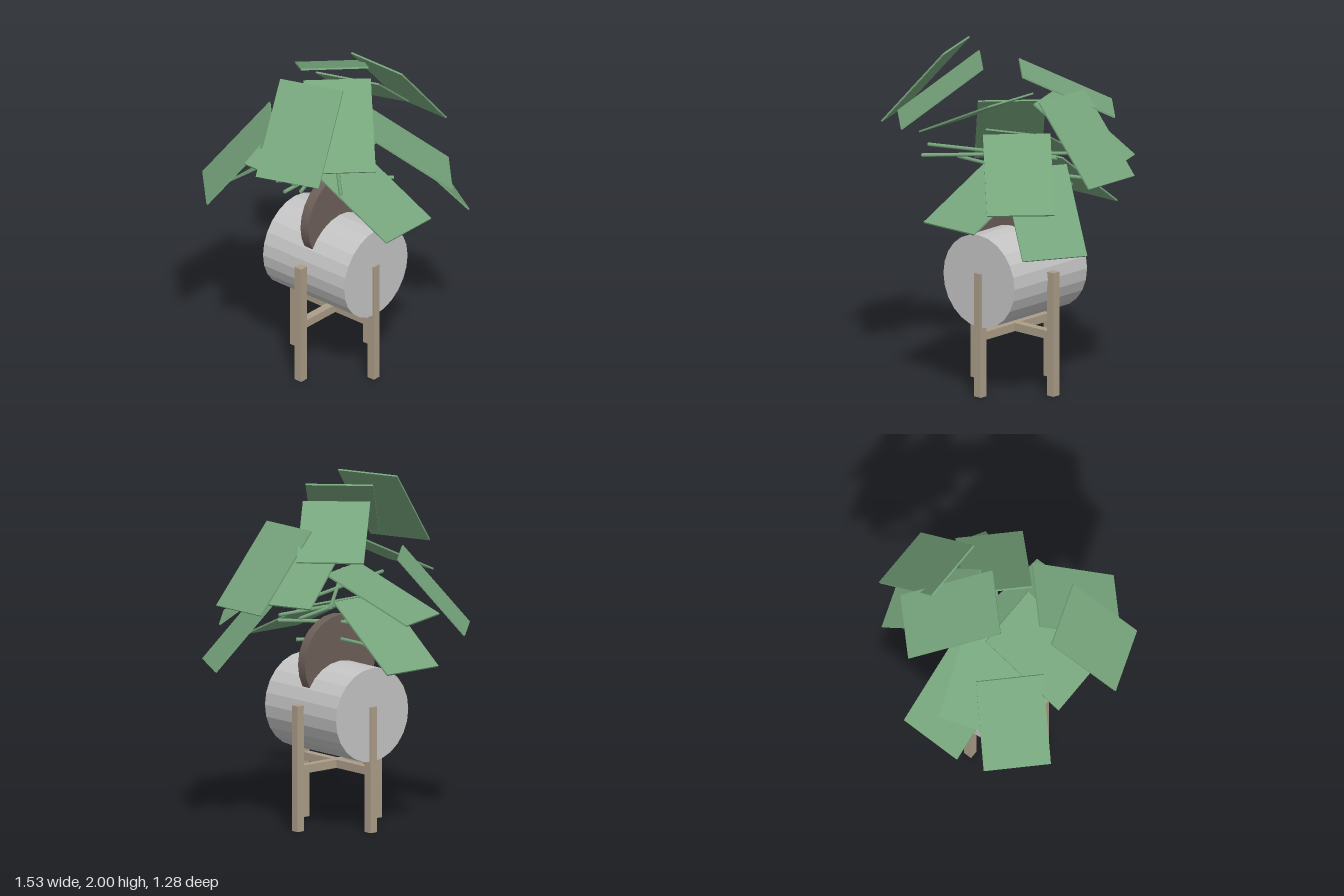
import * as THREE from 'three';

const mat = (name, color) => {
  const m = new THREE.MeshStandardMaterial({ color });
  m.name = name;
  return m;
};

export function createModel() {
  const leafGreen = mat('leaf green', 0x76a57c);
  const potGrey = mat('pot grey', 0xc4c4c4);
  const soilBrown = mat('soil brown', 0x6d5f59);
  const wood = mat('wood', 0xab9d88);
  potGrey.flatShading = true;

  const model = new THREE.Group();
  model.name = 'pottedPlant';
  const add = (name, geometry, material, x, y, z, parent = model) => {
    const mesh = new THREE.Mesh(geometry, material);
    mesh.name = name;
    mesh.position.set(x, y, z);
    parent.add(mesh);
    return mesh;
  };

  // everything is arranged round this axis
  const cx = 0.005, cz = 0.033;

  // pot and soil, both lying along z
  const pot = new THREE.CylinderGeometry(0.276, 0.276, 0.624, 24).rotateX(Math.PI / 2);
  add('pot', pot, potGrey, cx + 0.003, 0.692, cz);
  const soil = new THREE.CylinderGeometry(0.268, 0.268, 0.062, 24).rotateX(Math.PI / 2);
  add('soil', soil, soilBrown, cx + 0.003, 0.97, cz);

  // stand: four legs and two crossing bars
  const legGeo = new THREE.BoxGeometry(0.05, 0.74, 0.05);
  for (const [dx, dz] of [[1, 0], [-1, 0], [0, 1], [0, -1]]) {
    add('standLeg', legGeo, wood, cx + dx * 0.297, 0.37, cz + dz * 0.297);
  }
  add('standBarAcross', new THREE.BoxGeometry(0.59, 0.048, 0.05), wood, cx, 0.362, cz);
  add('standBarAlong', new THREE.BoxGeometry(0.05, 0.048, 0.59), wood, cx, 0.362, cz);

  // leaves: [direction in degrees from +x towards +z, tier, tilt in degrees]
  const leaves = [
    [90, 0, 25], [270, 0, 37], [30, 0, 49],
    [250, 1, 25], [45, 1, 37], [225, 1, 49],
    [180, 2, 25], [340, 2, 37], [0, 2, 49],
    [315, 3, 25], [135, 3, 37], [160, 3, 49],
  ];
  const reach = { 25: 0.3, 37: 0.43, 49: 0.557 };
  const leafGeo = new THREE.BoxGeometry(0.59, 0.01, 0.39);

  for (const [angle, tier, tilt] of leaves) {
    const branch = new THREE.Group();
    branch.name = 'branch';
    branch.position.set(cx, 0, cz);
    branch.rotation.y = -THREE.MathUtils.degToRad(angle);
    model.add(branch);

    const leaf = add('leaf', leafGeo, leafGreen, reach[tilt], 1.185 + tier * 0.198, 0, branch);
    leaf.rotation.z = -THREE.MathUtils.degToRad(tilt);

    // horizontal stem, longer on the higher tiers
    const stemGeo = new THREE.CylinderGeometry(0.011, 0.011, 0.2 * (tier + 1), 8).rotateZ(Math.PI / 2);
    add('stem', stemGeo, leafGreen, 0.14, 1.096 + tier * 0.098, 0, branch);
  }

  return model;
}
